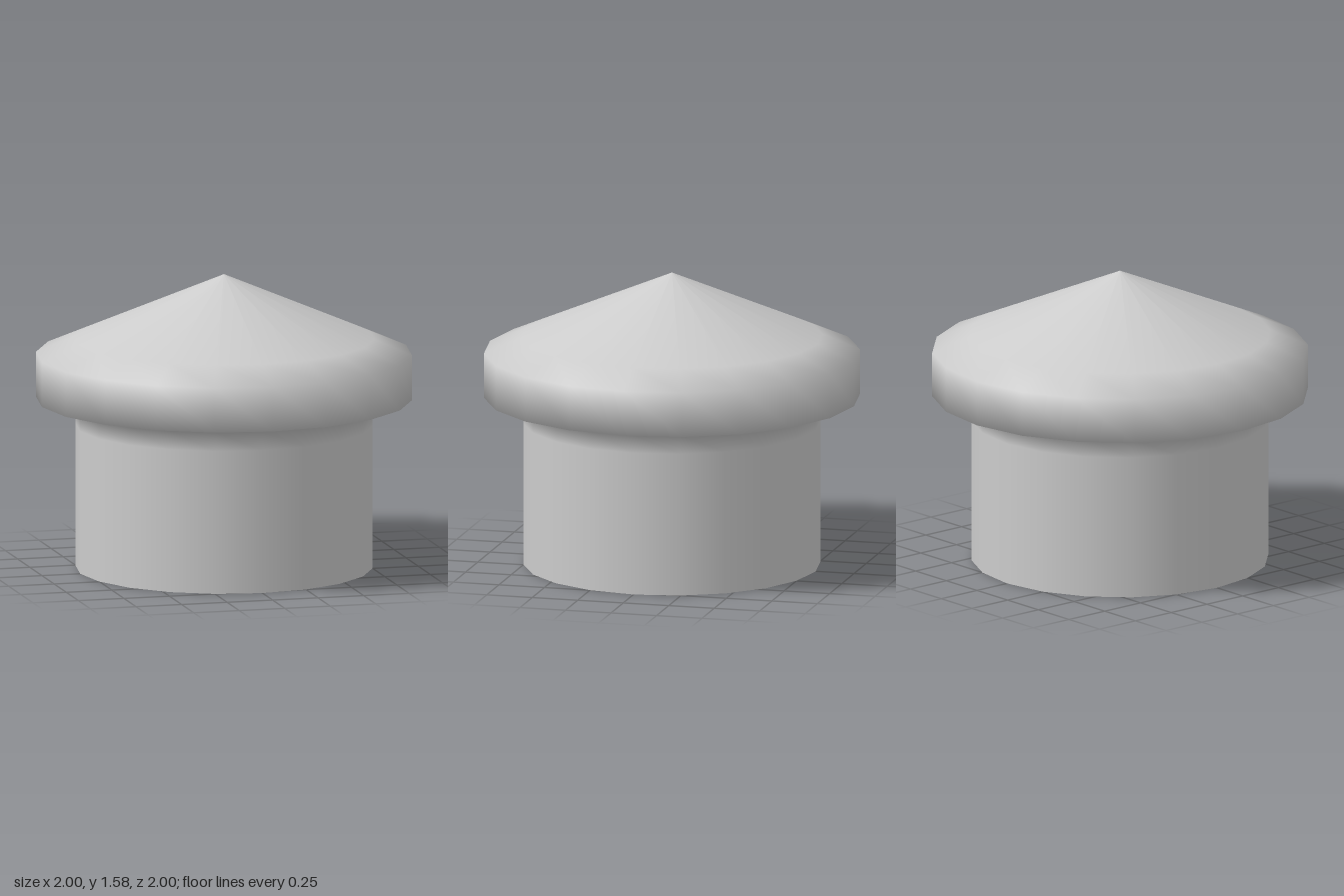
import * as THREE from 'three';

const SIDES = 20;
const STEM_RADIUS = 0.79;

export function createModel() {
  const group = new THREE.Group();
  group.name = 'mushroomButton';
  const material = new THREE.MeshStandardMaterial({ color: 0xcccccc });

  // Stem, flared rim and conical roof as one smooth turned profile, bottom to top
  const profile = [
    [STEM_RADIUS, 0],
    [STEM_RADIUS, 0.77],
    [STEM_RADIUS, 0.87],
    [1, 0.91],
    [1, 1.15],
    [0.8, 1.236],
    [0, 1.58],
  ].map(([r, y]) => new THREE.Vector2(r, y));
  const body = new THREE.Mesh(new THREE.LatheGeometry(profile, SIDES), material);
  body.name = 'stemAndCap';
  group.add(body);

  // Flat underside with a sharp edge, its corners matching the stem
  const base = new THREE.Mesh(new THREE.CircleGeometry(STEM_RADIUS, SIDES), material);
  base.name = 'base';
  base.rotation.x = Math.PI / 2;
  group.add(base);

  return group;
}
